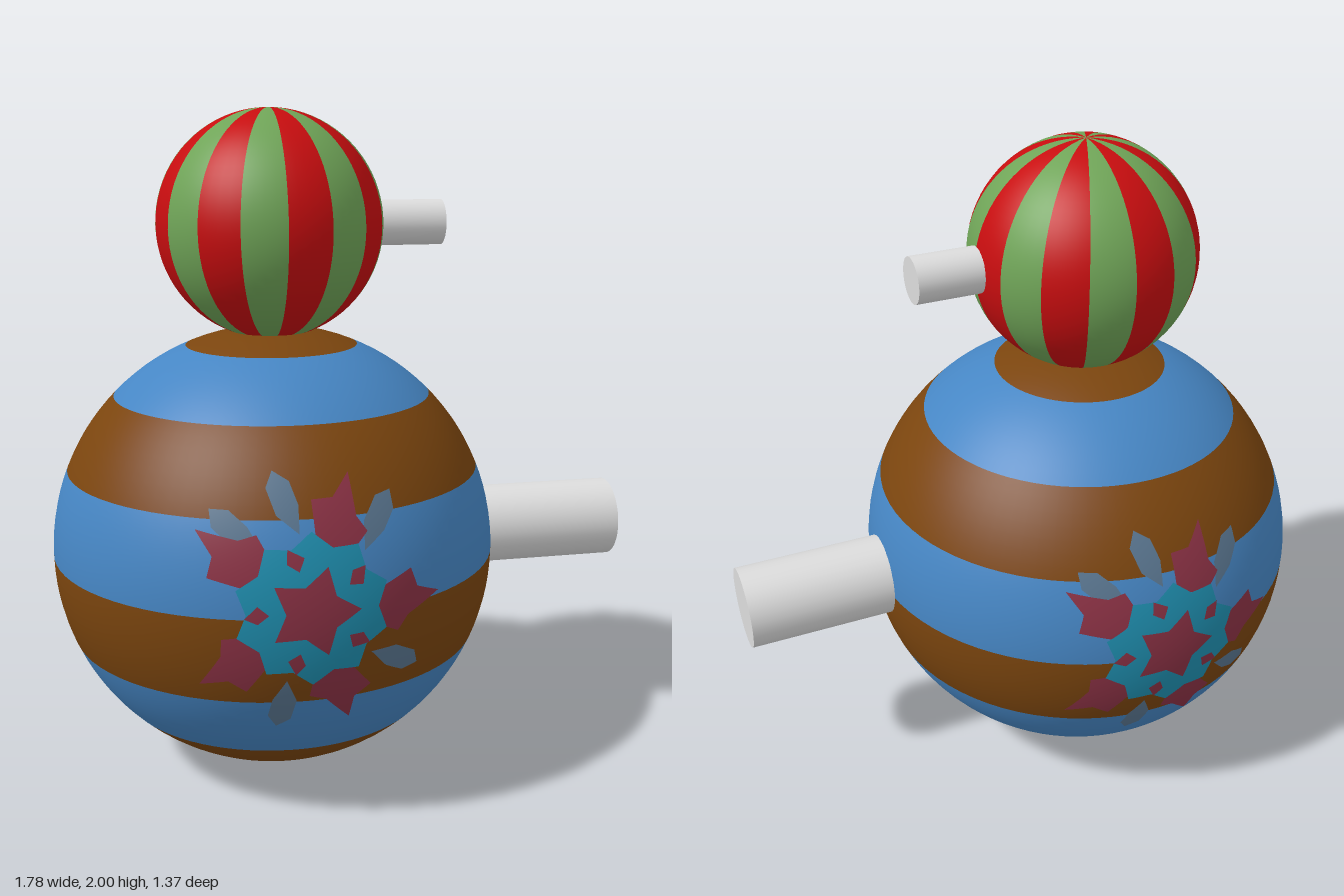
import * as THREE from 'three';

const mat = (name, color) => {
  const m = new THREE.MeshStandardMaterial({ color });
  m.name = name;
  return m;
};

const X = -0.215, BODY_Y = 0.681, BODY_R = 0.677, HEAD_Y = 1.663, HEAD_R = 0.337;
const STEP = Math.PI / 8;

export function createModel() {
  const blue = mat('blue', 0x4686c4), brown = mat('brown', 0x7b450e);
  const red = mat('red', 0xc80d0f), green = mat('green', 0x70a558);
  const grey = mat('pale grey', 0xdcdcdc);
  const teal = mat('teal', 0x1f8fb0), maroon = mat('maroon', 0x8c3245), slate = mat('slate', 0x5a7690);

  const model = new THREE.Group();
  const add = (parent, name, geometry, material) => {
    const mesh = new THREE.Mesh(geometry, material);
    mesh.name = name;
    parent.add(mesh);
    return mesh;
  };

  // Body with eight horizontal bands, head with sixteen vertical stripes
  const body = new THREE.Group();
  body.name = 'body';
  body.position.set(X, BODY_Y, 0);
  const head = new THREE.Group();
  head.name = 'head';
  head.position.set(X, HEAD_Y, 0);
  model.add(body, head);
  for (let i = 0; i < 8; i++) {
    add(body, 'bodyBand', new THREE.SphereGeometry(BODY_R, 80, 7, 0, Math.PI * 2, i * STEP, STEP), i % 2 ? blue : brown);
  }
  for (let i = 0; i < 16; i++) {
    add(head, 'headStripe', new THREE.SphereGeometry(HEAD_R, 4, 40, i * STEP, STEP), i % 2 ? green : red);
  }

  // Horizontal pegs on the +x side
  const peg = (name, y, radius, x0, x1) => {
    const mesh = add(model, name, new THREE.CylinderGeometry(radius, radius, x1 - x0, 32), grey);
    mesh.rotation.z = -Math.PI / 2;
    mesh.position.set((x0 + x1) / 2, y, 0);
  };
  peg('bodyPeg', 0.691, 0.124, 0.3, 0.89);
  peg('headPeg', HEAD_Y, 0.068, 0, 0.31);

  // Outline filled from its middle and wrapped on to the body sphere
  const patch = (points, lift) => {
    const cx = points.reduce((s, p) => s + p[0], 0) / points.length;
    const cy = points.reduce((s, p) => s + p[1], 0) / points.length;
    const edge = [];
    points.forEach((p, i) => {
      const q = points[(i + 1) % points.length];
      for (let k = 0; k < 3; k++) edge.push([p[0] + (q[0] - p[0]) * k / 3, p[1] + (q[1] - p[1]) * k / 3]);
    });
    const rings = 6, n = edge.length, R = BODY_R + lift;
    const position = [], normal = [], index = [];
    for (let j = 0; j <= rings; j++) {
      for (const [ex, ey] of edge) {
        const x = cx + (ex - cx) * j / rings, y = cy + (ey - cy) * j / rings;
        const z = Math.sqrt(R * R - x * x - y * y);
        position.push(x, y, z);
        normal.push(x / R, y / R, z / R);
      }
    }
    for (let j = 0; j < rings; j++) {
      for (let i = 0; i < n; i++) {
        const a = j * n + i, b = j * n + (i + 1) % n;
        index.push(a, a + n, b + n, a, b + n, b);
      }
    }
    const g = new THREE.BufferGeometry();
    g.setAttribute('position', new THREE.Float32BufferAttribute(position, 3));
    g.setAttribute('normal', new THREE.Float32BufferAttribute(normal, 3));
    g.setIndex(index);
    return g;
  };

  const CY = 0.015; // flower middle above the body's equator
  const turned = (points, degrees) => {
    const a = degrees * Math.PI / 180, c = Math.cos(a), s = Math.sin(a);
    return points.map(([x, y]) => [x * c - y * s, x * s + y * c + CY]);
  };
  const star = (count, outer, inner) => Array.from({ length: count * 2 }, (_, i) => {
    const a = i * Math.PI / count, r = i % 2 ? inner : outer;
    return [r * Math.cos(a), r * Math.sin(a)];
  });

  const petal = [[0.17, -0.05], [0.24, -0.085], [0.27, -0.045], [0.37, 0], [0.3, 0.03], [0.28, 0.085], [0.19, 0.05]];
  const leaf = [[0.21, -0.02], [0.28, -0.04], [0.34, -0.035], [0.375, 0], [0.34, 0.03], [0.27, 0.025]];
  const fleck = [[0.12, 0], [0.15, -0.025], [0.185, 0.01], [0.15, 0.025]];

  // Matching flowers painted on the front and back
  for (const side of [0, 1]) {
    const flower = new THREE.Group();
    flower.name = side ? 'backFlower' : 'frontFlower';
    flower.rotation.y = side * Math.PI;
    body.add(flower);
    for (const angle of [52, 104, 134, -34, -104]) add(flower, 'leaf', patch(turned(leaf, angle), 0.002), slate);
    for (let i = 0; i < 5; i++) {
      add(flower, 'petal', patch(turned(petal, i * 72), 0.0035), maroon);
      add(flower, 'fleck', patch(turned(fleck, i * 72 + 36), 0.0065), maroon);
    }
    add(flower, 'flowerDisc', patch(turned(star(10, 0.215, 0.18), 18), 0.005), teal);
    add(flower, 'flowerCore', patch(turned(star(5, 0.13, 0.075), 0), 0.0065), maroon);
  }
  return model;
}
